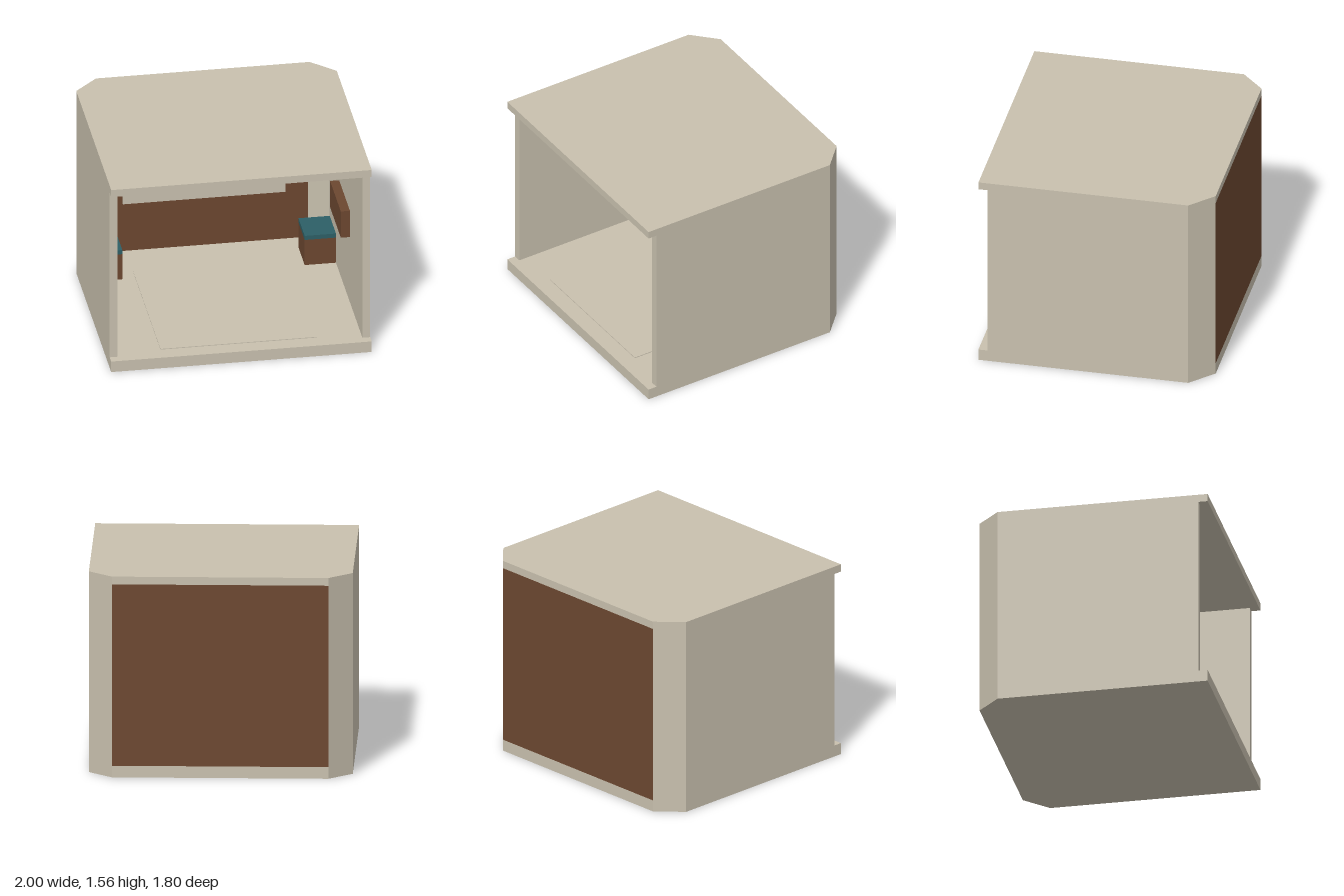
import * as THREE from 'three';

export function createModel() {
  const group = new THREE.Group();
  const material = (name, color) => {
    const m = new THREE.MeshStandardMaterial({ color });
    m.name = name;
    return m;
  };
  const beige = material('beige', 0xc8c0ae);
  const brown = material('brown', 0x6c4730);
  const teal = material('teal', 0x2d5f66);

  const add = (name, geometry, mat) => {
    const mesh = new THREE.Mesh(geometry, mat);
    mesh.name = name;
    group.add(mesh);
  };
  // Upright prism from a floor plan given as [x, z] points
  const prism = (name, plan, y0, y1, mat) => {
    const shape = new THREE.Shape(plan.map(([x, z]) => new THREE.Vector2(x, -z)));
    const g = new THREE.ExtrudeGeometry(shape, { depth: y1 - y0, bevelEnabled: false });
    g.rotateX(-Math.PI / 2).translate(0, y0, 0);
    add(name, g, mat);
  };
  // Box given by its limits on each axis
  const box = (name, [x0, x1], [y0, y1], [z0, z1], mat) => {
    const g = new THREE.BoxGeometry(Math.abs(x1 - x0), y1 - y0, z1 - z0);
    g.translate((x0 + x1) / 2, (y0 + y1) / 2, (z0 + z1) / 2);
    add(name, g, mat);
  };

  const floorTop = 0.09, ceilingBottom = 1.5, height = 1.56;

  // Floor and ceiling slabs with cut back corners
  const slab = [[-1, 0.9], [1, 0.9], [1, -0.725], [0.82, -0.9], [-0.82, -0.9], [-1, -0.725]];
  prism('floor', slab, 0, floorTop, beige);
  prism('ceiling', slab, ceilingBottom, height, beige);

  // Back wall with its display panel
  prism('backWall', [[-0.8, -0.85], [0.8, -0.85], [0.82, -0.9], [-0.82, -0.9]],
    floorTop, ceilingBottom, brown);
  box('wallPanel', [-0.625, 0.625], [0.5, 0.92], [-0.85, -0.83], beige);

  // Thin floor mat
  box('floorMat', [-0.6, 0.6], [floorTop, 0.096], [-0.5, 0.77], beige);

  for (const [side, s] of [['left', 1], ['right', -1]]) {
    // Side wall with its angled back corner
    const plan = [[1, 0.83], [1, -0.725], [0.82, -0.9], [0.8, -0.85], [0.94, -0.7], [0.94, 0.83]];
    prism(side + 'Wall', plan.map(([x, z]) => [s * x, z]), floorTop, ceilingBottom, beige);

    // Stool with a cushion
    box(side + 'Stool', [s * 0.7, s * 0.94], [floorTop, 0.305], [-0.69, -0.4], brown);
    box(side + 'Cushion', [s * 0.7, s * 0.94], [0.305, 0.34], [-0.69, -0.4], teal);

    // Block under the ceiling in the back corner
    box(side + 'CornerBlock', [s * 0.795, s * 0.907], [1.42, ceilingBottom], [-0.81, -0.7], brown);
  }

  // Cabinet on the left wall
  box('wallCabinet', [0.87, 0.94], [0.65, 0.875], [-0.25, 0.25], brown);

  return group;
}
